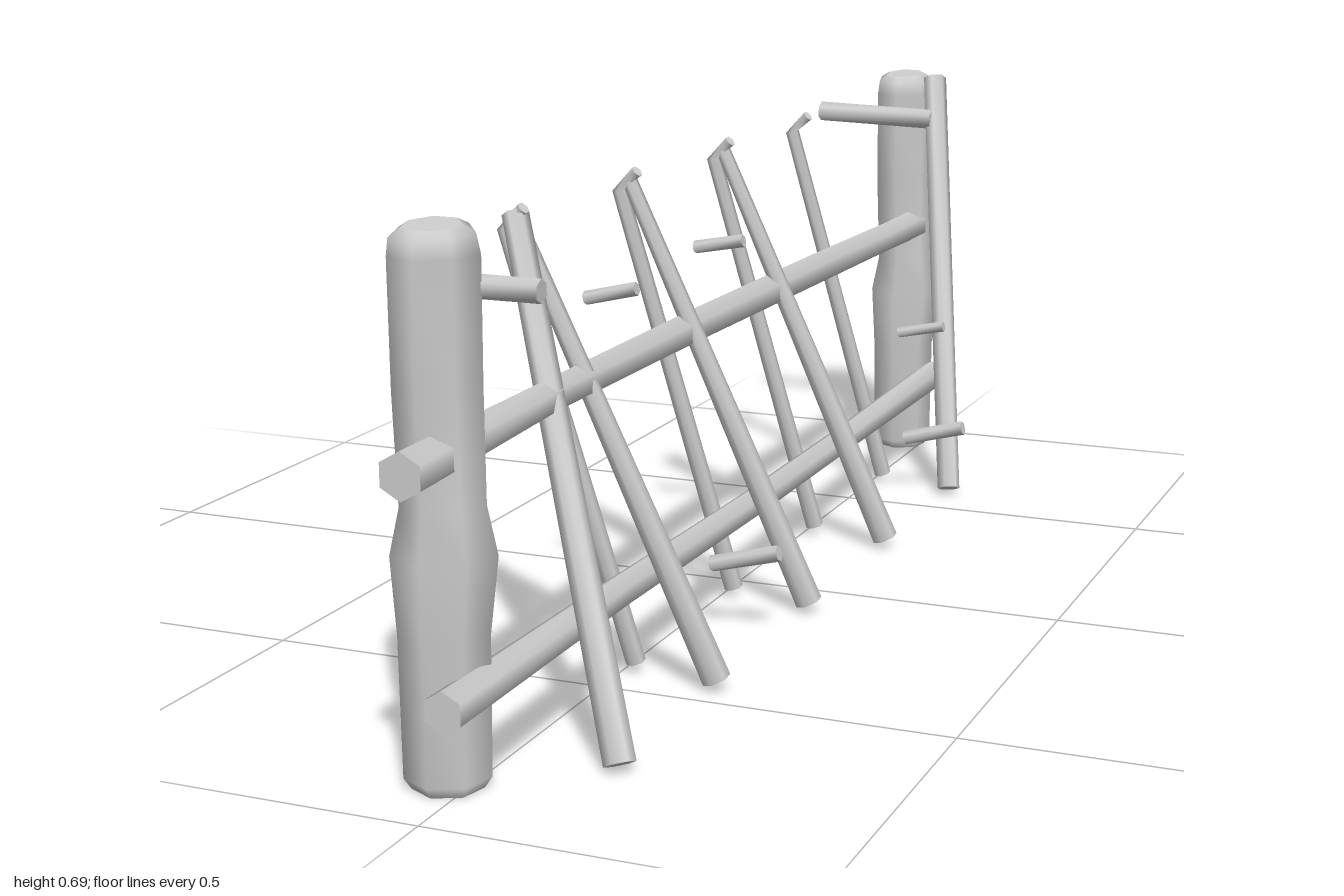
import * as THREE from 'three';

const wood = new THREE.MeshStandardMaterial({ color: 0xcccccc });
wood.name = 'pale grey wood';

// Capped rod swept through points [x, y, z] with one radius per point
function rod(name, points, radii, sides = 6) {
  const p = points.map((a) => new THREE.Vector3(...a));
  const n = p.length;
  const span = p[n - 1].clone().sub(p[0]).normalize();
  const ref = Math.abs(span.y) > 0.6 ? new THREE.Vector3(0, 0, 1) : new THREE.Vector3(0, 1, 0);
  const pos = [], index = [];
  p.forEach((c, i) => {
    const t = p[Math.min(i + 1, n - 1)].clone().sub(p[Math.max(i - 1, 0)]).normalize();
    const u = ref.clone().cross(t).normalize();
    const v = t.clone().cross(u);
    for (let j = 0; j < sides; j++) {
      const a = Math.PI / 2 + (j / sides) * Math.PI * 2;
      const q = c.clone().addScaledVector(u, Math.cos(a) * radii[i]).addScaledVector(v, Math.sin(a) * radii[i]);
      pos.push(q.x, q.y, q.z);
    }
  });
  for (let i = 0; i < n - 1; i++) {
    for (let j = 0; j < sides; j++) {
      const a = i * sides + j, b = i * sides + ((j + 1) % sides);
      index.push(a, b, a + sides, b, b + sides, a + sides);
    }
  }
  // Flat end caps with their own corners
  for (const end of [0, n - 1]) {
    const base = pos.length / 3;
    pos.push(...p[end].toArray());
    pos.push(...pos.slice(end * sides * 3, (end + 1) * sides * 3));
    for (let j = 0; j < sides; j++) {
      const a = base + 1 + j, b = base + 1 + ((j + 1) % sides);
      if (end === 0) index.push(base, b, a);
      else index.push(base, a, b);
    }
  }
  const g = new THREE.BufferGeometry();
  g.setAttribute('position', new THREE.Float32BufferAttribute(pos, 3));
  g.setIndex(index);
  g.computeVertexNormals();
  const mesh = new THREE.Mesh(g, wood);
  mesh.name = name;
  return mesh;
}

// Rough log post: [height, x drift, z drift, radius]
const postRings = [
  [0.005, 0, 0, 0.045], [0.02, 0, 0, 0.055], [0.2, 0, 0, 0.057], [0.3, 0.003, 0, 0.066],
  [0.36, 0.003, 0, 0.053], [0.5, 0, 0, 0.055], [0.66, 0, 0, 0.056], [0.685, 0, 0.003, 0.052], [0.695, 0, 0.004, 0.036],
];

function post(name, x, z, s) {
  return rod(name, postRings.map(([y, dx, dz]) => [x + dx, y, z + dz]), postRings.map((r) => r[3] * s), 7);
}

export function createModel() {
  const group = new THREE.Group();
  group.name = 'fence';

  // End posts
  group.add(post('frontPost', -0.026, 0.878, 1), post('backPost', -0.037, -0.894, 0.96));

  // Long rails, slightly bowed
  group.add(
    rod('upperRail', [[-0.01, 0.425, 1], [-0.02, 0.428, 0.6], [-0.032, 0.422, 0.1], [-0.032, 0.418, -0.4], [-0.02, 0.42, -0.75], [-0.01, 0.423, -1]],
      [0.03, 0.024, 0.026, 0.027, 0.026, 0.029]),
    rod('lowerRail', [[0.025, 0.14, 0.98], [0.022, 0.138, 0.5], [0.02, 0.131, 0], [0.02, 0.133, -0.4], [0.022, 0.14, -0.89]],
      [0.027, 0.023, 0.022, 0.022, 0.026]),
  );

  // Crossing stakes: a thin hooked one at each stop, a thick leaning one at three
  [0.53, 0.175, -0.175, -0.52].forEach((z, i) => {
    group.add(rod('thinStake', [[0.02, 0.02, z - 0.1], [-0.115, 0.63, z], [-0.085, 0.658, z + 0.005]], [0.014, 0.011, 0.009]));
    if (i < 3) group.add(rod('thickStake', [[0.15, 0.02, z - 0.075], [-0.1, 0.645, z]], [0.02, 0.011]));
  });

  // Diagonal braces
  group.add(
    rod('frontBrace', [[0.15, 0.016, 0.765], [-0.1, 0.65, 0.53]], [0.021, 0.018]),
    rod('backBrace', [[0.152, 0.016, -0.585], [0.022, 0.69, -0.88]], [0.019, 0.02]),
  );

  // Pegs: start, end, radius
  const pegs = [
    [[-0.18, 0.626, -0.84], [0.03, 0.62, -0.84], 0.017],
    [[-0.03, 0.62, 0.855], [0.1, 0.62, 0.855], 0.015],
    [[-0.13, 0.486, 0.262], [-0.05, 0.505, 0.262], 0.01],
    [[-0.11, 0.503, -0.088], [-0.03, 0.518, -0.088], 0.01],
    [[0.048, 0.105, 0.228], [0.152, 0.132, 0.228], 0.012],
    [[0.03, 0.265, -0.668], [0.112, 0.282, -0.668], 0.009],
    [[0.07, 0.097, -0.59], [0.174, 0.124, -0.59], 0.012],
  ];
  pegs.forEach(([a, b, r]) => group.add(rod('peg', [a, b], [r, r])));

  return group;
}
